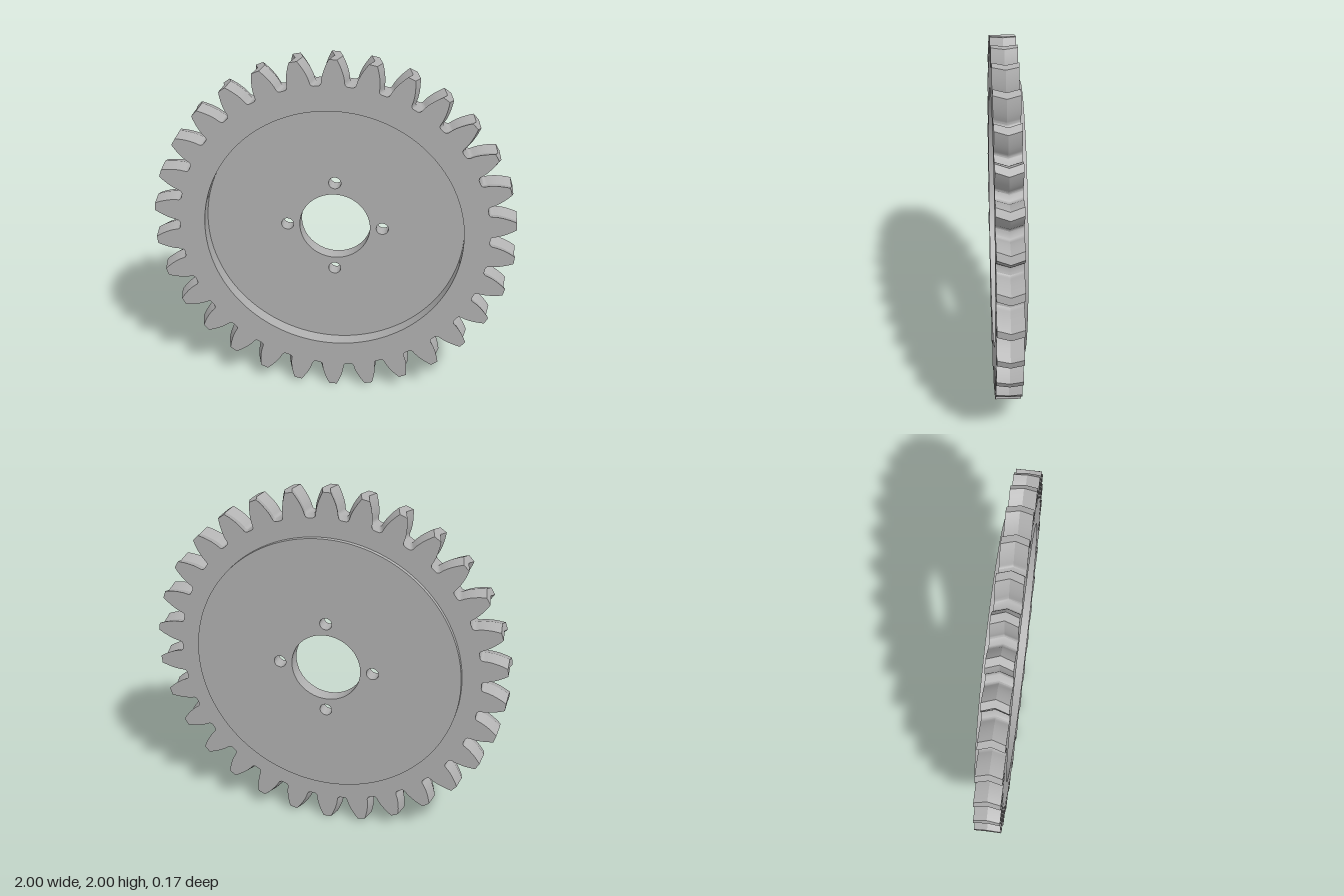
import * as THREE from 'three';
import { toCreasedNormals } from 'three/addons/utils/BufferGeometryUtils.js';

const TEETH = 30;
const FRONT = 0.0825, BACK = -0.0825, RIM_BACK = -0.0575, FLOOR = 0;
const RECESS_R = 0.717, BOSS_R = 0.753, BORE_R = 0.196;
const PITCH_R = 0.9375, BASE_R = 0.874, ROOT_R = 0.858;
const TWIST = -0.024; // chevron offset of the mid-plane, in radians

const circle = (r, x = 0, y = 0) => new THREE.Path().absarc(x, y, r, 0, Math.PI * 2, false);
const disc = (r) => new THREE.Shape().absarc(0, 0, r, 0, Math.PI * 2, false);

// Involute half-angle of a tooth at radius r
const involute = (r) => {
  const a = Math.acos(Math.min(1, BASE_R / r));
  return Math.tan(a) - a;
};
const halfAngle = (r) => Math.PI / (2 * TEETH) + involute(PITCH_R) - involute(r);

// Closed outline of all teeth, with rounded gullets
function gearOutline() {
  const flank = [[ROOT_R, 0.091], [0.8595, 0.083], [0.864, 0.076], [0.871, 0.0715]];
  for (let i = 0; i <= 7; i++) {
    const r = 0.88 + (1 - 0.88) * i / 7;
    flank.push([r, halfAngle(r)]);
  }
  const points = [];
  for (let t = 0; t < TEETH; t++) {
    const centre = Math.PI / 2 + t * Math.PI * 2 / TEETH;
    const add = (r, a) => points.push(new THREE.Vector2(r * Math.cos(centre + a), r * Math.sin(centre + a)));
    flank.forEach(([r, a]) => add(r, -a));
    add(1, 0);
    [...flank].reverse().forEach(([r, a]) => add(r, a));
  }
  return new THREE.Shape(points);
}

function extrude(shape, back, front, steps = 1) {
  const geometry = new THREE.ExtrudeGeometry(shape, {
    depth: front - back, steps, bevelEnabled: false, curveSegments: 96,
  });
  return geometry.translate(0, 0, back);
}

export function createModel() {
  const steel = new THREE.MeshStandardMaterial({ color: 0xb0b0b0 });
  steel.name = 'grey steel';

  const gear = new THREE.Group();
  gear.name = 'herringboneGear';
  const addPart = (name, geometry) => {
    const mesh = new THREE.Mesh(toCreasedNormals(geometry, 0.42), steel);
    mesh.name = name;
    mesh.position.y = 1;
    gear.add(mesh);
  };

  // Toothed rim: the middle layer is turned to make the chevron teeth
  const rimShape = gearOutline();
  rimShape.holes.push(circle(RECESS_R));
  const rim = extrude(rimShape, RIM_BACK, FRONT, 2);
  const pos = rim.attributes.position;
  const middle = (RIM_BACK + FRONT) / 2;
  for (let i = 0; i < pos.count; i++) {
    const x = pos.getX(i), y = pos.getY(i);
    if (Math.abs(pos.getZ(i) - middle) > 0.001 || Math.hypot(x, y) < 0.8) continue;
    const c = Math.cos(TWIST), s = Math.sin(TWIST);
    pos.setXY(i, x * c - y * s, x * s + y * c);
  }
  addPart('toothedRim', rim);

  // Recessed web with the bore and four bolt holes
  const webShape = disc(RECESS_R);
  webShape.holes.push(circle(BORE_R));
  for (let i = 0; i < 4; i++) {
    const a = i * Math.PI / 2;
    webShape.holes.push(circle(0.034, 0.265 * Math.cos(a), 0.265 * Math.sin(a)));
  }
  addPart('web', extrude(webShape, BACK, FLOOR));

  // Raised edge of the boss on the back
  const bossShape = disc(BOSS_R);
  bossShape.holes.push(circle(RECESS_R));
  addPart('backBoss', extrude(bossShape, BACK, RIM_BACK));

  return gear;
}
